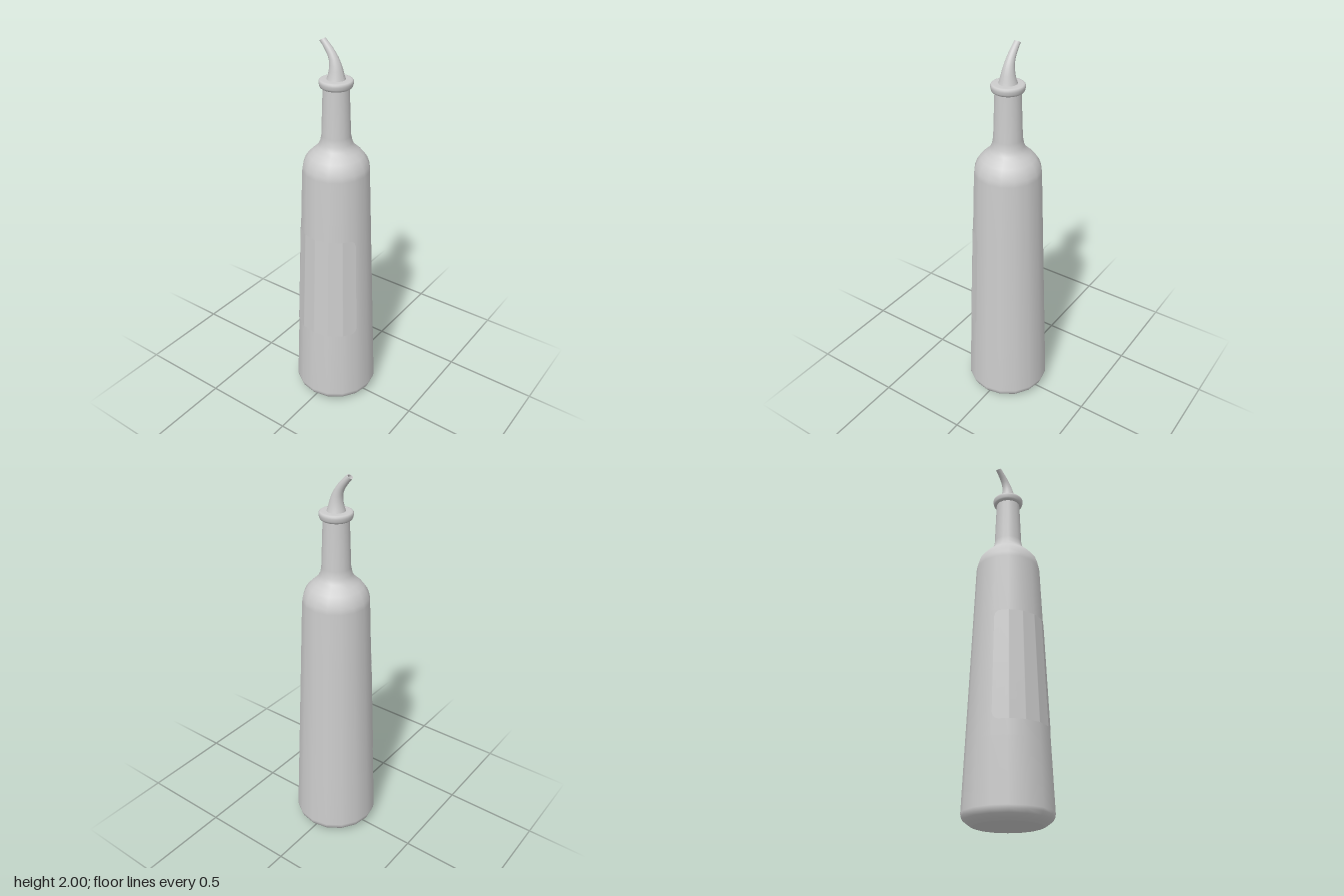
import * as THREE from 'three';
import { ParametricGeometry } from 'three/addons/geometries/ParametricGeometry.js';

const SIDES = 16;
const material = new THREE.MeshStandardMaterial({ color: 0xcccccc });
const thinMaterial = new THREE.MeshStandardMaterial({ color: 0xcccccc, side: THREE.DoubleSide });

function add(group, name, geometry, mat = material) {
  const mesh = new THREE.Mesh(geometry, mat);
  mesh.name = name;
  group.add(mesh);
  return mesh;
}

function lathe(points, sides) {
  return new THREE.LatheGeometry(points.map(([r, y]) => new THREE.Vector2(r, y)), sides);
}

// Radius of the tapering wall at height y
const wallRadius = (y) => THREE.MathUtils.mapLinear(y, 0.06, 1.36, 0.223, 0.17);

// Thin panel that follows the faceted wall, with rounded corners
function labelGeometry() {
  const bottom = 0.46, top = 1.035, corner = 0.035;
  const start = Math.PI / 8, sweep = Math.PI * 6 / 8, step = Math.PI * 2 / SIDES;
  return new ParametricGeometry((u, v, target) => {
    const angle = start + sweep * (1 - u);
    // Distance to the nearer side edge decides how far the corner cuts in
    const edge = Math.min(u, 1 - u) * sweep * 0.2;
    const d = Math.max(0, corner - edge);
    const inset = corner - Math.sqrt(Math.max(0, corner * corner - d * d));
    const y = THREE.MathUtils.lerp(bottom + inset, top - inset, v);
    const facet = Math.cos(step / 2) / Math.cos((angle % step) - step / 2);
    const r = (wallRadius(y) + 0.002) * facet;
    target.set(r * Math.cos(angle), y, r * Math.sin(angle));
  }, 96, 6);
}

// Bent tube lofted through circular sections [x, y, radius, tilt]
function spoutGeometry(sections, sides) {
  const positions = [], indices = [];
  for (const [x, y, r, tilt] of sections) {
    for (let i = 0; i <= sides; i++) {
      const a = (i / sides) * Math.PI * 2;
      const across = r * Math.cos(a);
      positions.push(x + across * Math.cos(tilt), y + across * Math.sin(tilt), r * Math.sin(a));
    }
  }
  const row = sides + 1;
  for (let s = 0; s < sections.length - 1; s++) {
    for (let i = 0; i < sides; i++) {
      const a = s * row + i, b = a + 1, c = a + row, d = c + 1;
      indices.push(a, c, b, b, c, d);
    }
  }
  const geometry = new THREE.BufferGeometry();
  geometry.setAttribute('position', new THREE.Float32BufferAttribute(positions, 3));
  geometry.setIndex(indices);
  geometry.computeVertexNormals();
  return geometry;
}

export function createModel() {
  const bottle = new THREE.Group();
  bottle.name = 'pouringBottle';

  // Tapered body, shoulder and neck
  add(bottle, 'body', lathe([
    [0.168, 0], [0.19, 0.01], [0.212, 0.027], [0.221, 0.045], [0.223, 0.06],
    [0.21, 0.38], [0.196, 0.72], [0.183, 1.04],
    [0.17, 1.36], [0.166, 1.385], [0.155, 1.415], [0.138, 1.44], [0.113, 1.463],
    [0.092, 1.482], [0.08, 1.505], [0.073, 1.54], [0.064, 1.785],
  ], SIDES));

  // Flat underside
  add(bottle, 'base', new THREE.CircleGeometry(0.168, SIDES).rotateX(Math.PI / 2));

  // Front label panel
  add(bottle, 'label', labelGeometry(), thinMaterial);

  // Rounded collar at the mouth
  add(bottle, 'collar', lathe([
    [0, 1.778], [0.06, 1.778], [0.07, 1.778], [0.077, 1.783], [0.08, 1.79], [0.083, 1.803],
    [0.082, 1.812], [0.078, 1.817], [0.07, 1.819], [0.045, 1.819], [0, 1.819],
  ], 32));

  // Curved pouring spout, outer wall
  const tip = [-0.077, 1.992, 0.0155, 0.52];
  add(bottle, 'spout', spoutGeometry([
    [0, 1.817, 0.046, 0], [0, 1.835, 0.04, 0], [-0.001, 1.86, 0.034, 0.06],
    [-0.005, 1.885, 0.029, 0.18], [-0.013, 1.91, 0.024, 0.34], [-0.026, 1.934, 0.0205, 0.5],
    [-0.042, 1.955, 0.0185, 0.56], [-0.06, 1.975, 0.0165, 0.56], tip,
  ], 24));

  // Rim and bore of the spout
  const [x, y, r, tilt] = tip;
  add(bottle, 'spoutRim', spoutGeometry([tip, [x, y, r - 0.004, tilt]], 24), thinMaterial);
  add(bottle, 'spoutBore', spoutGeometry([
    [x, y, r - 0.004, tilt], [-0.06, 1.975, 0.011, 0.56],
    [-0.042, 1.955, 0.011, 0.56], [-0.026, 1.934, 0.001, 0.5],
  ], 24), thinMaterial);

  return bottle;
}
